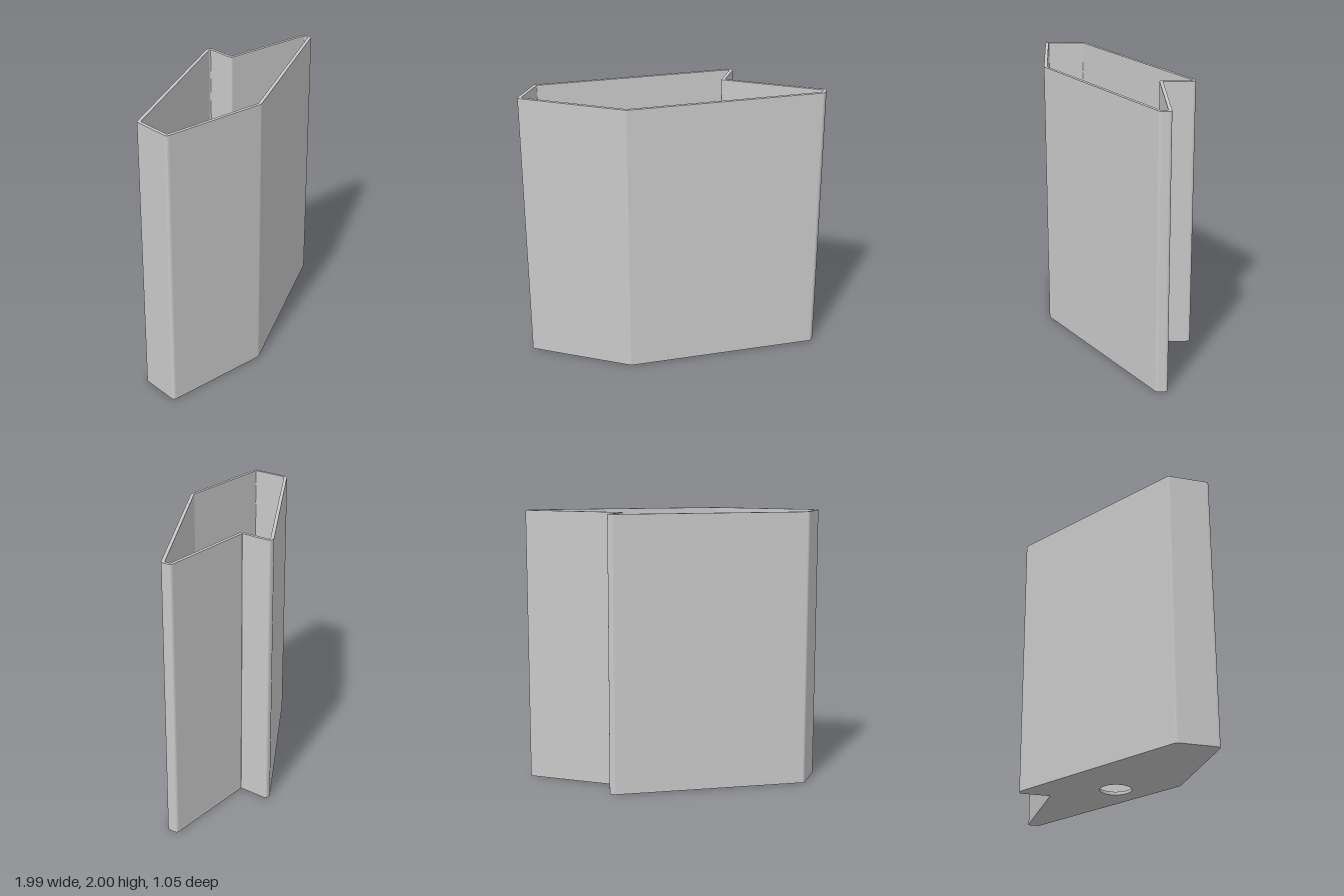
import * as THREE from 'three';
import { toCreasedNormals } from 'three/addons/utils/BufferGeometryUtils.js';

const HEIGHT = 2, WALL = 0.024;

// Plan outline, counter-clockwise, as [x, z, outer corner radius, inner corner radius]
const OUTLINE = [
  [-0.997, 0.526, 0.025, 0.008],
  [-0.2, 0.526, 0.028, 0.008],
  [0.997, -0.217, 0.028, 0.008],
  [0.997, -0.298, 0.025, 0.008],
  [0.258, -0.298, 0.004, 0.015],
  [0.258, -0.527, 0.025, 0.008],
  [0.211, -0.527, 0.028, 0.008],
  [-0.997, 0.221, 0.025, 0.008],
];

// Directions of the edges entering and leaving a corner
function corner(points, i) {
  const n = points.length, p = points[i];
  const before = p.clone().sub(points[(i + n - 1) % n]).normalize();
  const after = points[(i + 1) % n].clone().sub(p).normalize();
  return { p, before, after };
}

// Move a counter-clockwise outline inwards by a constant distance
function inset(points, distance) {
  return points.map((_, i) => {
    const { p, before, after } = corner(points, i);
    const n1 = new THREE.Vector2(-before.y, before.x);
    const n2 = new THREE.Vector2(-after.y, after.x);
    const scale = distance / (1 + n1.dot(n2));
    return p.clone().add(n1.add(n2).multiplyScalar(scale));
  });
}

// Draw a closed outline with rounded corners
function drawRounded(path, points, radii) {
  points.forEach((_, i) => {
    const { p, before, after } = corner(points, i);
    const turn = Math.acos(THREE.MathUtils.clamp(before.dot(after), -1, 1));
    const cut = radii[i] * Math.tan(turn / 2);
    const a = p.clone().addScaledVector(before, -cut);
    const b = p.clone().addScaledVector(after, cut);
    if (i === 0) path.moveTo(a.x, a.y);
    else path.lineTo(a.x, a.y);
    path.quadraticCurveTo(p.x, p.y, b.x, b.y);
  });
  path.closePath();
  return path;
}

// Extrude a plan shape upwards from y = bottom
function raise(shape, bottom, depth, curveSegments) {
  const geometry = new THREE.ExtrudeGeometry(shape, { depth, curveSegments, bevelEnabled: false });
  return geometry.rotateX(-Math.PI / 2).translate(0, bottom, 0);
}

export function createModel() {
  const model = new THREE.Group();
  model.name = 'openContainer';
  const grey = new THREE.MeshStandardMaterial({ color: 0xc9c9c9 });
  grey.name = 'grey';

  const outer = OUTLINE.map(([x, z]) => new THREE.Vector2(x, -z));
  const inner = inset(outer, WALL);
  const outerRadii = OUTLINE.map((c) => c[2]);
  const innerRadii = OUTLINE.map((c) => c[3]);

  // Thin upright walls, open at the top
  const wallShape = drawRounded(new THREE.Shape(), outer, outerRadii);
  wallShape.holes.push(drawRounded(new THREE.Path(), inner, innerRadii));
  const walls = new THREE.Mesh(raise(wallShape, WALL, HEIGHT - WALL, 8), grey);
  walls.name = 'walls';

  // Floor with a round drain hole
  const floorShape = drawRounded(new THREE.Shape(), outer, outerRadii);
  floorShape.holes.push(new THREE.Path().absarc(0, -0.115, 0.114, 0, Math.PI * 2, true));
  const floor = new THREE.Mesh(toCreasedNormals(raise(floorShape, 0, WALL, 24), 0.2), grey);
  floor.name = 'floor';

  model.add(walls, floor);
  return model;
}
